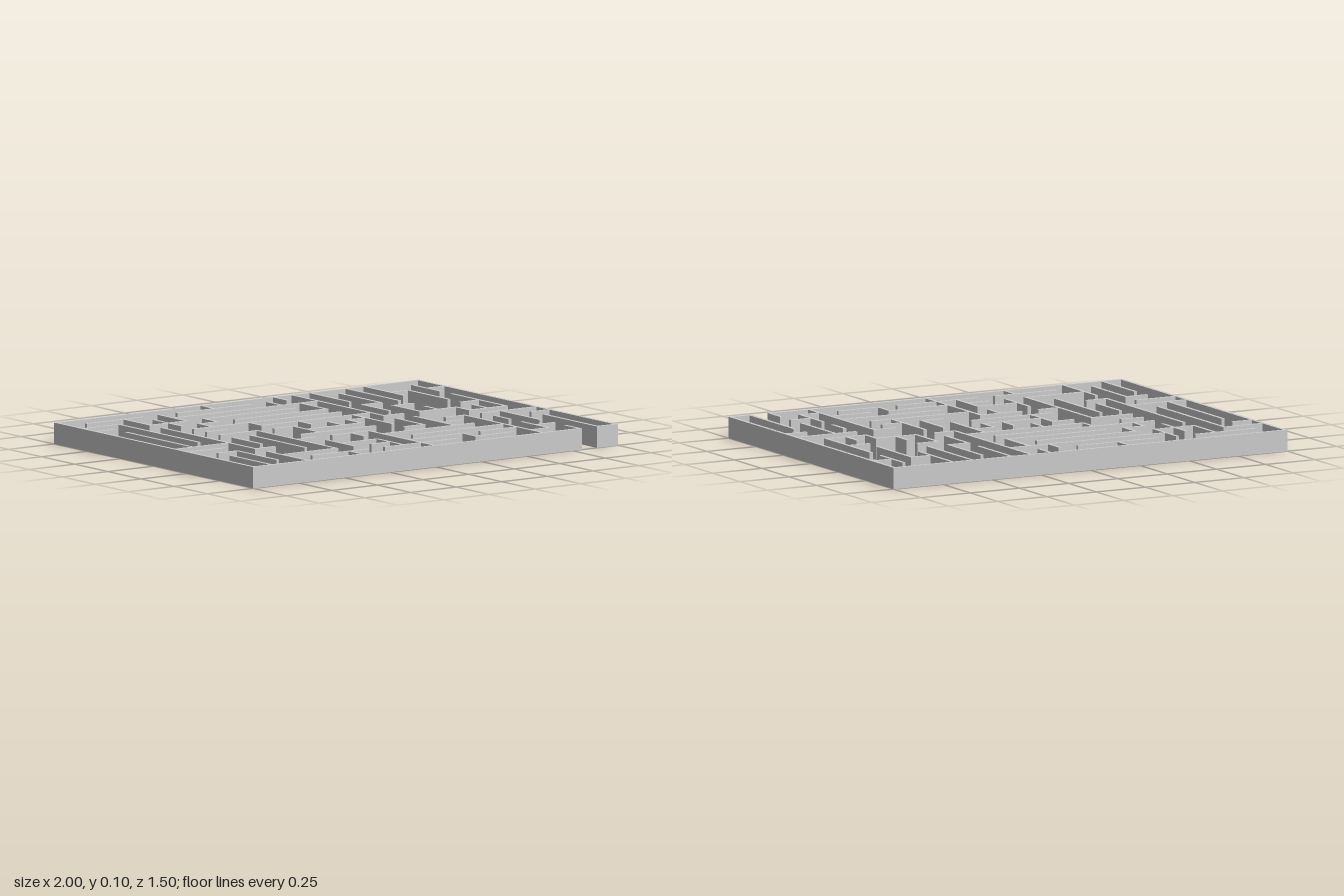
import * as THREE from 'three';

const PITCH = 0.0992, THICK = 0.016, HEIGHT = 0.096;
const COLS = 20, ROWS = 15;

// Walls along x: for each grid row (back to front), [from, to] columns
const rowWalls = [
  [[0, 20]],
  [[1, 4], [6, 10]],
  [[0, 2], [5, 13], [17, 18], [19, 20]],
  [[0, 1], [3, 5], [6, 11]],
  [[5, 6], [7, 12], [14, 15]],
  [[4, 12], [15, 16]],
  [[4, 5], [7, 13], [18, 19]],
  [[4, 6], [7, 8], [11, 12], [13, 14], [15, 17]],
  [[8, 11], [17, 19]],
  [[0, 3], [7, 11], [15, 16], [17, 20]],
  [[0, 2], [6, 7], [8, 10], [12, 13], [14, 15], [19, 20]],
  [[1, 2], [3, 4], [10, 15]],
  [[7, 9], [11, 16]],
  [[3, 6], [8, 9], [10, 13], [14, 16], [17, 18]],
  [[4, 7], [8, 12], [13, 15], [16, 17]],
  [[0, 18], [19, 20]],
];

// Walls along z: for each grid column (right to left), [from, to] rows
const columnWalls = [
  [[0, 15]],
  [[4, 9], [12, 15]],
  [[2, 8], [11, 14]],
  [[1, 3], [4, 11], [12, 15]],
  [[2, 4], [8, 10]],
  [[1, 3], [4, 5], [8, 12]],
  [[3, 4], [7, 13], [14, 15]],
  [[5, 6], [11, 13]],
  [[0, 1], [7, 9]],
  [[6, 7], [10, 11], [12, 14]],
  [[7, 8], [10, 15]],
  [[1, 2], [7, 8]],
  [[0, 1], [2, 4], [6, 9]],
  [[0, 7], [8, 10], [13, 14]],
  [[0, 3], [4, 6], [8, 11]],
  [[1, 4], [5, 7]],
  [[0, 4], [6, 7], [9, 15]],
  [[0, 3], [7, 8], [10, 11], [12, 14]],
  [[2, 5], [7, 8], [9, 12], [14, 15]],
  [[1, 3], [4, 8], [11, 15]],
  [[0, 15]],
];

export function createModel() {
  const model = new THREE.Group();
  model.name = 'maze';
  const material = new THREE.MeshStandardMaterial({ color: 0xcccccc });

  const outer = new THREE.Group();
  outer.name = 'outerWalls';
  const inner = new THREE.Group();
  inner.name = 'innerWalls';
  model.add(outer, inner);

  // One straight wall between two grid points, its ends closing the corners
  function addWall(c0, r0, c1, r1, isOuter) {
    const wall = new THREE.Mesh(
      new THREE.BoxGeometry((c1 - c0) * PITCH + THICK, HEIGHT, (r1 - r0) * PITCH + THICK),
      material
    );
    wall.position.set(
      ((c0 + c1 - COLS) / 2) * PITCH,
      HEIGHT / 2,
      ((r0 + r1 - ROWS) / 2) * PITCH
    );
    wall.name = isOuter ? 'outerWall' : 'innerWall';
    (isOuter ? outer : inner).add(wall);
  }

  rowWalls.forEach((walls, r) =>
    walls.forEach(([a, b]) => addWall(a, r, b, r, r === 0 || r === ROWS)));
  columnWalls.forEach((walls, c) =>
    walls.forEach(([a, b]) => addWall(c, a, c, b, c === 0 || c === COLS)));

  return model;
}
